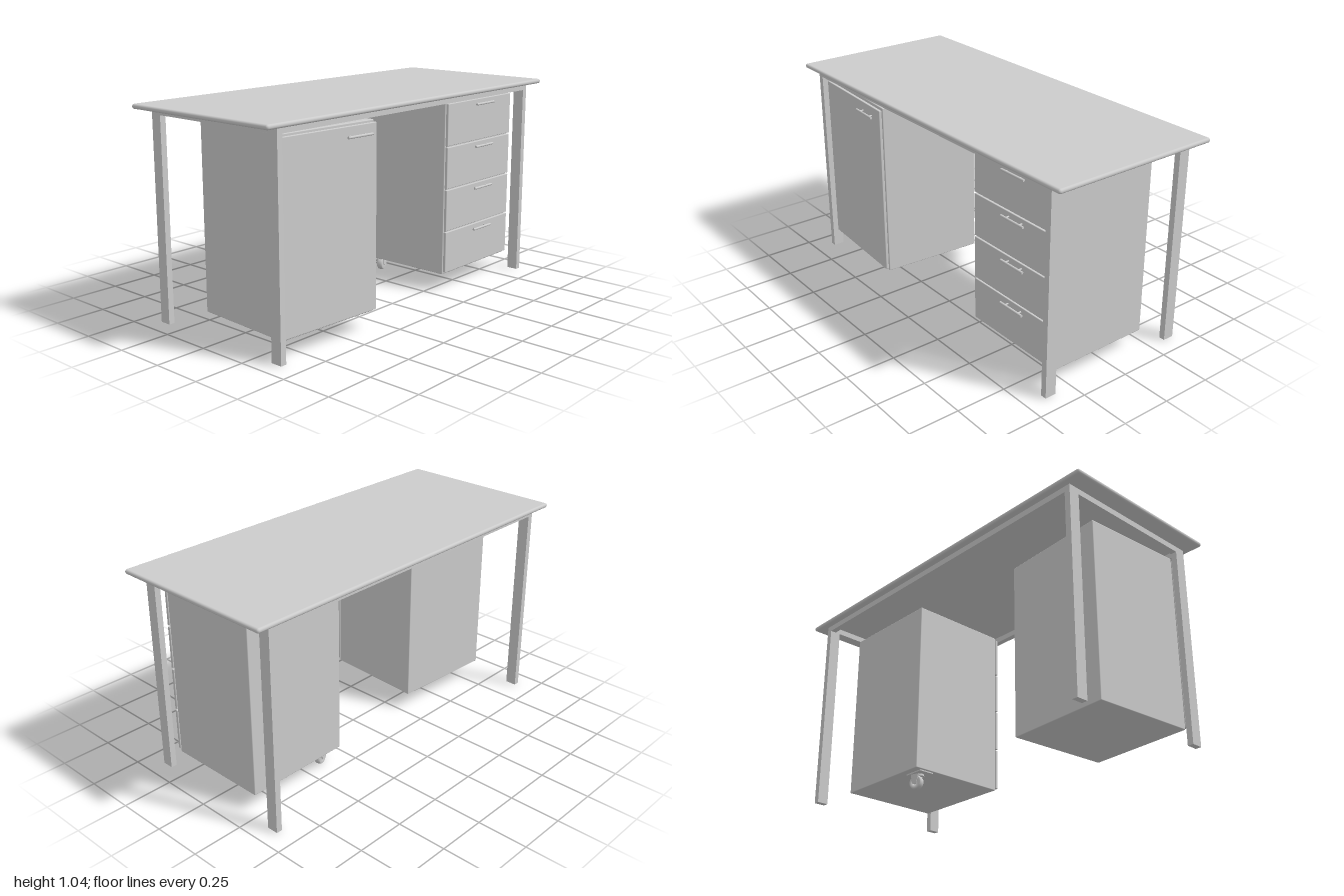
import * as THREE from 'three';
import { RoundedBoxGeometry } from 'three/addons/geometries/RoundedBoxGeometry.js';

const grey = new THREE.MeshStandardMaterial({ color: 0xcccccc });

function add(parent, name, geometry, x, y, z) {
  const mesh = new THREE.Mesh(geometry, grey);
  mesh.name = name;
  mesh.position.set(x, y, z);
  parent.add(mesh);
  return mesh;
}

// Box given by its lower and upper corners
function box(parent, name, [x0, y0, z0], [x1, y1, z1]) {
  return add(parent, name, new THREE.BoxGeometry(x1 - x0, y1 - y0, z1 - z0),
    (x0 + x1) / 2, (y0 + y1) / 2, (z0 + z1) / 2);
}

// Round bar on two posts, standing off a front that faces +x
function handle(parent, x, y, z) {
  const group = new THREE.Group();
  group.name = 'handle';
  group.position.set(x, y, z);
  add(group, 'handleBar', new THREE.CylinderGeometry(0.006, 0.006, 0.15, 16), 0.02, 0, 0).rotation.x = Math.PI / 2;
  for (const s of [-1, 1])
    add(group, 'handlePost', new THREE.CylinderGeometry(0.004, 0.004, 0.02, 12), 0.01, 0, s * 0.045).rotation.z = Math.PI / 2;
  parent.add(group);
}

// Storage unit: carcass with a number of equal front panels on its +x side
function storageUnit(name, panelName, panels, handleDrop, handleZ) {
  const unit = new THREE.Group();
  unit.name = name;
  add(unit, 'carcass', new RoundedBoxGeometry(0.527, 0.89, 0.55, 2, 0.004), -0.0095, 0.53, 0);
  const bottom = 0.098, pitch = (0.972 - bottom) / panels, gap = 0.007;
  for (let i = 0; i < panels; i++) {
    const y = bottom + i * pitch;
    add(unit, panelName, new RoundedBoxGeometry(0.015, pitch - gap, 0.55, 2, 0.003), 0.2655, y + (pitch - gap) / 2, 0);
    handle(unit, 0.273, y + pitch - handleDrop, handleZ);
  }
  // Thin spacer joining the panels to the carcass
  box(unit, 'panelSpacer', [0.25, 0.11, -0.265], [0.262, 0.95, 0.265]);
  return unit;
}

// Swivel caster below the plate
function caster() {
  const group = new THREE.Group();
  group.name = 'caster';
  box(group, 'mountingPlate', [-0.04, 0.079, -0.055], [0.04, 0.086, 0.055]);
  add(group, 'swivel', new THREE.CylinderGeometry(0.022, 0.024, 0.011, 24), 0, 0.074, 0);
  const fork = new THREE.Group();
  fork.name = 'fork';
  fork.position.set(-0.012, 0, -0.008);
  fork.rotation.y = 0.28;
  group.add(fork);
  // Tyre with rounded shoulders
  const profile = [[0.012, -0.016], [0.03, -0.016], [0.034, -0.012], [0.036, -0.005],
    [0.036, 0.005], [0.034, 0.012], [0.03, 0.016], [0.012, 0.016], [0.012, -0.016]];
  add(fork, 'wheel', new THREE.LatheGeometry(profile.map(p => new THREE.Vector2(...p)), 32), 0, 0.037, 0).rotation.z = Math.PI / 2;
  add(fork, 'axle', new THREE.CylinderGeometry(0.0125, 0.0125, 0.042, 20), 0, 0.037, 0).rotation.z = Math.PI / 2;
  // Tapered cheeks either side of the wheel
  const cheek = new THREE.Shape();
  cheek.moveTo(-0.022, 0.076);
  cheek.lineTo(-0.012, 0.03);
  cheek.lineTo(0.012, 0.03);
  cheek.lineTo(0.022, 0.076);
  const cheekGeometry = new THREE.ExtrudeGeometry(cheek, { depth: 0.003, bevelEnabled: false });
  cheekGeometry.translate(0, 0, -0.0015);
  for (const s of [-1, 1])
    add(fork, 'forkCheek', cheekGeometry, s * 0.019, 0, 0).rotation.y = Math.PI / 2;
  box(fork, 'forkCrown', [-0.02, 0.073, -0.022], [0.02, 0.077, 0.022]);
  return group;
}

export function createModel() {
  const desk = new THREE.Group();
  desk.name = 'desk';

  // Top with rounded edges
  add(desk, 'tabletop', new RoundedBoxGeometry(0.87, 0.023, 2, 4, 0.011), 0, 1.0255, 0);

  // Legs and the frame beneath the top
  for (const sz of [-1, 1]) {
    for (const sx of [-1, 1])
      add(desk, 'leg', new THREE.BoxGeometry(0.057, 1.015, 0.03), sx * 0.3715, 0.5075, sz * 0.9);
    add(desk, 'endRail', new THREE.BoxGeometry(0.686, 0.03, 0.03), 0, 1, sz * 0.9);
  }
  for (const sx of [-1, 1])
    add(desk, 'longRail', new THREE.BoxGeometry(0.03, 0.03, 1.77), sx * 0.385, 1, 0);

  // Door cabinet, turned slightly out of line
  const cabinet = storageUnit('doorCabinet', 'door', 1, 0.052, -0.155);
  cabinet.position.set(0.125, 0, 0.5775);
  cabinet.rotation.y = -0.064;
  desk.add(cabinet);

  // Drawer unit with its caster
  const drawers = storageUnit('drawerUnit', 'drawerFront', 4, 0.03, -0.015);
  drawers.position.set(0.058, 0, -0.597);
  desk.add(drawers);
  const wheel = caster();
  wheel.position.set(-0.14, 0, -0.388);
  desk.add(wheel);

  return desk;
}
